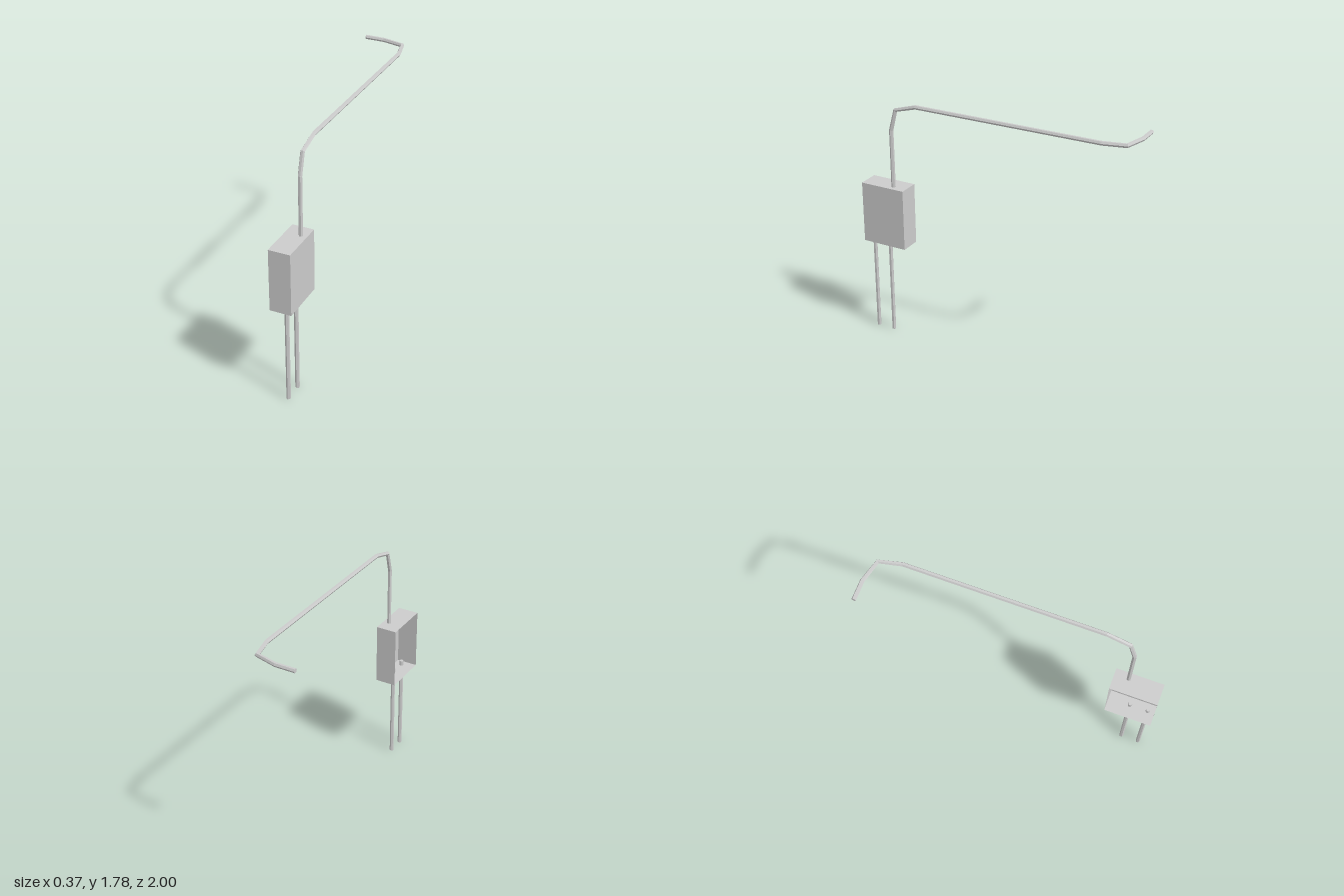
import * as THREE from 'three';

const material = new THREE.MeshStandardMaterial({ color: 0xcccccc, flatShading: true, side: THREE.DoubleSide });
const SIDES = 6;
const RADIUS = 0.015;

// Hexagonal pipe swept along corner points; two opposite edges stay level with the ground
function hexPipe(points) {
  const positions = [];
  const index = [];
  points.forEach((p, i) => {
    const dirIn = p.clone().sub(points[Math.max(i - 1, 0)]).normalize();
    const dirOut = points[Math.min(i + 1, points.length - 1)].clone().sub(p).normalize();
    const tangent = dirIn.add(dirOut).normalize();
    const side = new THREE.Vector3(-tangent.z, 0, tangent.x);
    if (side.length() < 0.01) side.set(1, 0, 0);
    side.normalize();
    const up = new THREE.Vector3().crossVectors(side, tangent);
    for (let k = 0; k < SIDES; k++) {
      const a = (k / SIDES) * Math.PI * 2;
      const v = p.clone().addScaledVector(side, RADIUS * Math.cos(a)).addScaledVector(up, RADIUS * Math.sin(a));
      positions.push(v.x, v.y, v.z);
    }
  });
  const last = (points.length - 1) * SIDES;
  for (let i = 0; i < last; i += SIDES) {
    for (let k = 0; k < SIDES; k++) {
      const a = i + k;
      const b = i + ((k + 1) % SIDES);
      index.push(a, a + SIDES, b, b, a + SIDES, b + SIDES);
    }
  }
  // End caps
  for (let k = 1; k < SIDES - 1; k++) {
    index.push(0, k, k + 1, last, last + k + 1, last + k);
  }
  const geometry = new THREE.BufferGeometry();
  geometry.setAttribute('position', new THREE.Float32BufferAttribute(positions, 3));
  geometry.setIndex(index);
  const flat = geometry.toNonIndexed();
  flat.computeVertexNormals();
  return flat;
}

export function createModel() {
  const model = new THREE.Group();
  model.name = 'pipeAndBox';
  const add = (name, geometry, x = 0, y = 0, z = 0) => {
    const mesh = new THREE.Mesh(geometry, material);
    mesh.name = name;
    mesh.position.set(x, y, z);
    model.add(mesh);
  };

  // Thin-walled box, open on its -x side
  const box = new THREE.BoxGeometry(0.152, 0.446, 0.335);
  const faces = Array.from(box.index.array);
  faces.splice(6, 6);
  box.setIndex(faces);
  box.clearGroups();
  add('openBox', box, 0.108, 0.927, 0.8325);

  // Two lower pipes that poke through the floor of the box
  [['frontLowerPipe', 0.95], ['rearLowerPipe', 0.82]].forEach(([name, z]) => {
    add(name, new THREE.CylinderGeometry(RADIUS, RADIUS, 0.74, SIDES), 0.127, 0.37, z);
  });

  // Upper pipe: rises from the box, bends back, then turns sideways
  const path = [
    [0.141, 1.11, 0.765], [0.141, 1.57, 0.765], [0.141, 1.72, 0.725], [0.141, 1.767, 0.565],
    [0.141, 1.767, -0.79], [0.105, 1.767, -0.945], [-0.05, 1.767, -0.985], [-0.19, 1.767, -0.985],
  ].map((p) => new THREE.Vector3(...p));
  add('upperPipe', hexPipe(path));

  return model;
}
